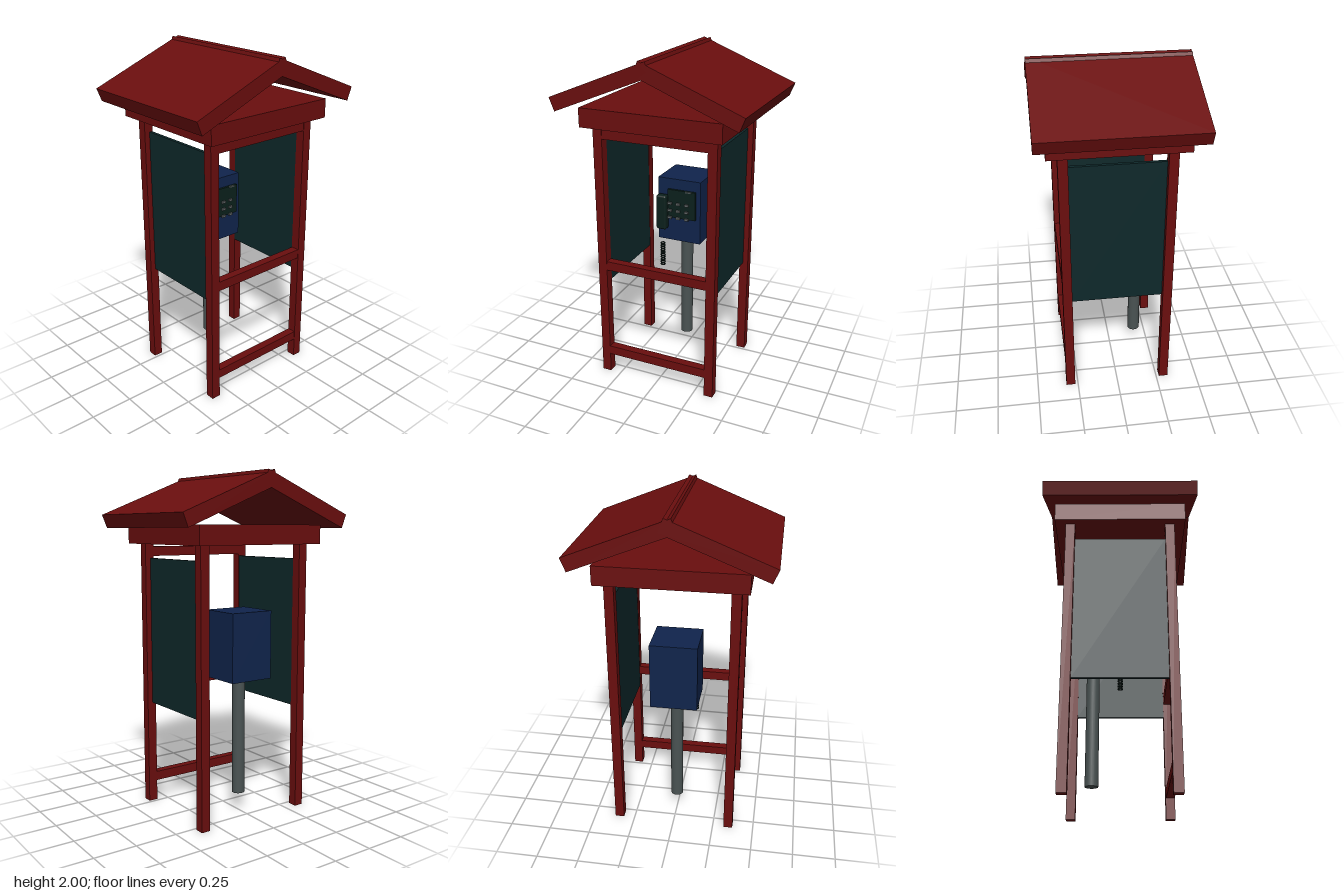
import * as THREE from 'three';
import { RoundedBoxGeometry } from 'three/addons/geometries/RoundedBoxGeometry.js';

const material = (name, color) => {
  const m = new THREE.MeshStandardMaterial({ color });
  m.name = name;
  return m;
};

export function createModel() {
  const red = material('red paint', 0x6a0e0e);
  const blue = material('blue casing', 0x10244c);
  const green = material('dark green panel', 0x0e282a);
  const black = material('handset black', 0x0b201c);
  const steel = material('steel grey', 0x4a5353);
  const key = material('key grey', 0x5c6263);

  const model = new THREE.Group();
  model.name = 'phoneShelter';

  const add = (name, geometry, mat, x, y, z) => {
    const mesh = new THREE.Mesh(geometry, mat);
    mesh.name = name;
    mesh.position.set(x, y, z);
    model.add(mesh);
    return mesh;
  };
  const box = (name, mat, w, h, d, x, y, z) =>
    add(name, new THREE.BoxGeometry(w, h, d), mat, x, y, z);

  // Frame: four posts, side panels and both roof slopes
  for (const side of [-1, 1]) {
    for (const end of [-1, 1]) {
      box('post', red, 0.055, 1.61, 0.055, side * 0.345, 0.805, end * 0.295);
    }
    box('sidePanel', green, 0.02, 0.885, 0.535, side * 0.33, 1.0725, 0);
    const slope = box('roofSlope', red, 0.625, 0.082, 0.9, side * 0.255, 1.847, 0);
    slope.rotation.z = -side * 0.381;
  }

  // Roof base and front rails
  box('roofBase', red, 0.84, 0.11, 0.77, 0, 1.655, 0);
  for (const y of [0.152, 0.742, 1.555]) {
    box('frontRail', red, 0.64, 0.056, 0.05, 0, y, 0.295);
  }

  // Telephone on its pole
  add('pole', new THREE.CylinderGeometry(0.038, 0.038, 0.72, 24), steel, 0, 0.475, -0.16);
  box('phoneCasing', blue, 0.276, 0.4, 0.26, 0, 1.02, -0.16);
  box('keypadPlate', black, 0.18, 0.18, 0.02, 0.02, 1.065, -0.025);
  box('coinSlot', steel, 0.04, 0.008, 0.008, 0.065, 1.152, -0.014);
  for (let row = 0; row < 3; row++) {
    for (let col = -1; col <= 1; col++) {
      box('key', key, 0.024, 0.014, 0.014, col * 0.055, 1.068 - row * 0.046, -0.011);
    }
  }

  // Handset and its coiled cord
  add('handset', new RoundedBoxGeometry(0.065, 0.22, 0.05, 3, 0.012), black, -0.1, 1.01, -0.002);
  for (let i = 0; i < 10; i++) {
    const ring = add('cordCoil', new THREE.TorusGeometry(0.013, 0.004, 6, 14), black,
      -0.097, 0.657 + i * 0.016, 0);
    ring.rotation.x = Math.PI / 2;
  }

  return model;
}
